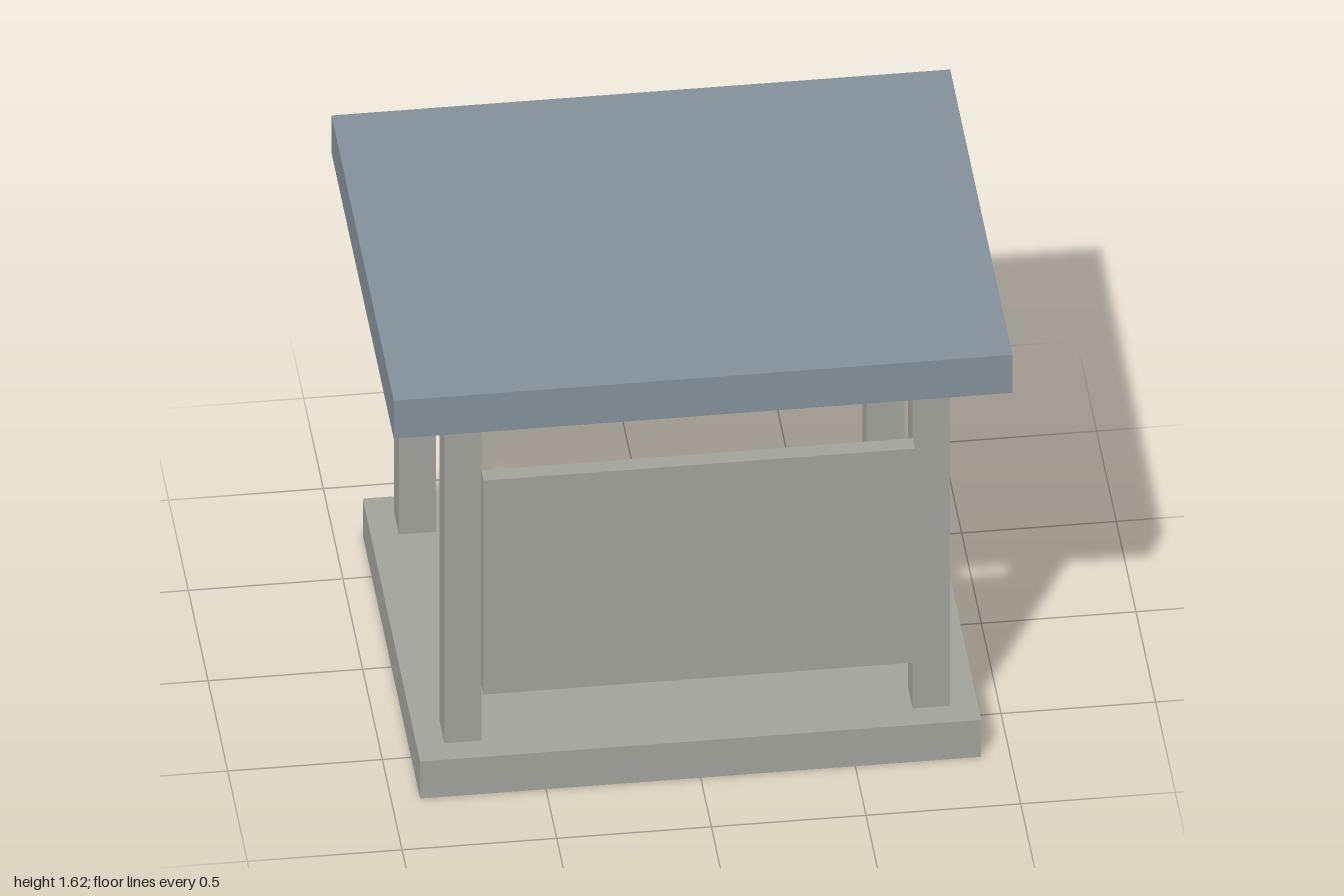
import * as THREE from 'three';

export function createModel() {
  const group = new THREE.Group();
  const stone = new THREE.MeshStandardMaterial({ color: 0xa1a39a });
  stone.name = 'stone grey';
  const slate = new THREE.MeshStandardMaterial({ color: 0x84909a });
  slate.name = 'slate blue';

  // Box given by its size, bottom height and centre
  function box(name, w, h, d, x, bottom, z, material) {
    const mesh = new THREE.Mesh(new THREE.BoxGeometry(w, h, d), material);
    mesh.name = name;
    mesh.position.set(x, bottom + h / 2, z);
    group.add(mesh);
  }

  // Floor slab and flat roof
  box('base', 1.814, 0.146, 1.456, 0, 0, 0, stone);
  box('roof', 2, 0.15, 1.58, 0, 1.474, 0, slate);

  // Four corner posts
  for (const x of [-1, 1]) {
    for (const z of [-1, 1]) {
      const name = (z > 0 ? 'front' : 'back') + (x > 0 ? 'Left' : 'Right') + 'Post';
      box(name, 0.12, 1.328, 0.12, x * 0.757, 0.146, z * 0.578, stone);
    }
  }

  // Panel standing just ahead of the front posts
  box('frontPanel', 1.396, 0.845, 0.058, 0, 0.369, 0.667, stone);

  return group;
}
